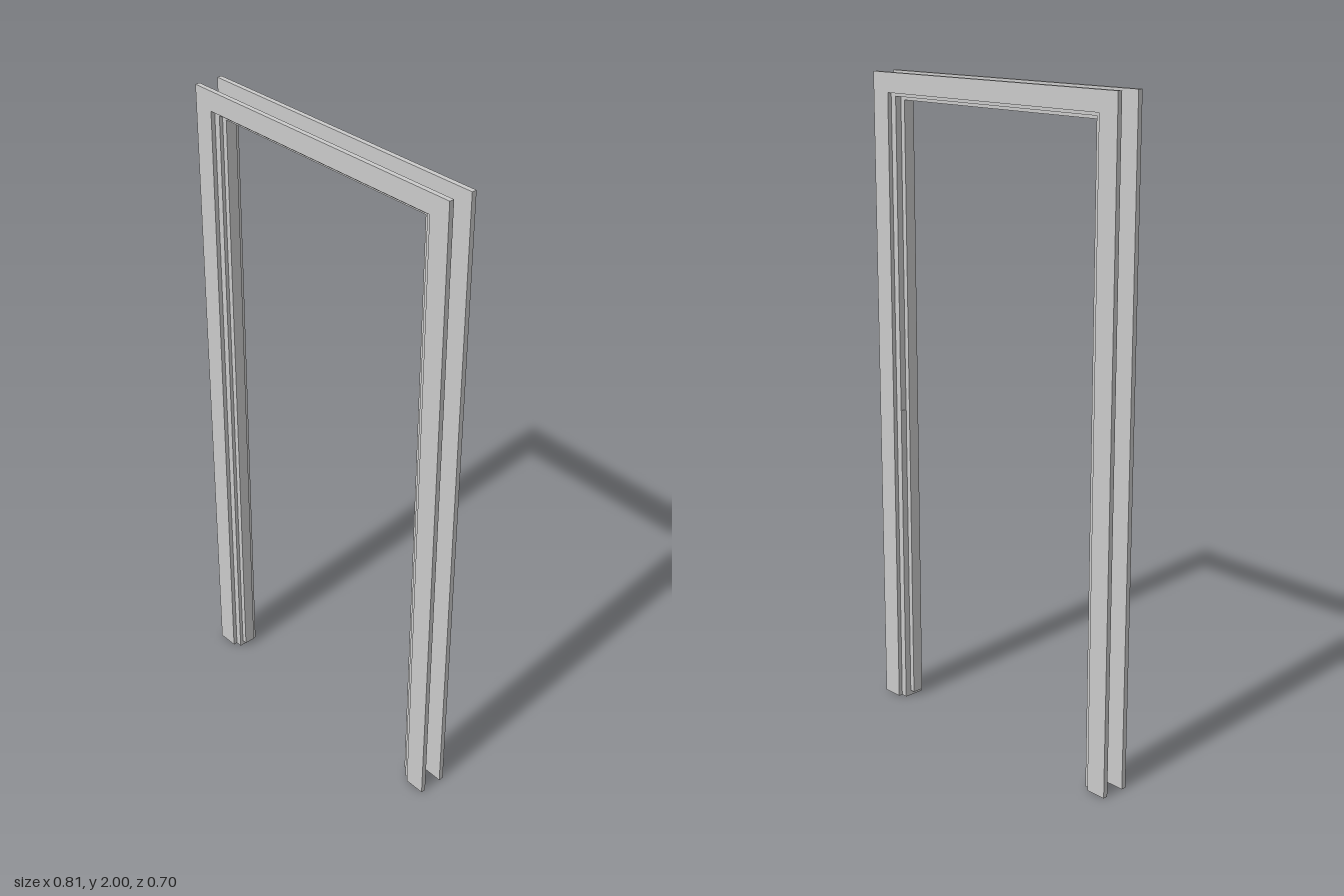
import * as THREE from 'three';

const material = new THREE.MeshStandardMaterial({ color: 0xcccccc });

// Upside-down U: outer half-width and top, inner half-width and top, extruded from z0 to z1
function portal(name, outer, top, inner, head, z0, z1, foot = 0) {
  const shape = new THREE.Shape([
    [-outer, foot], [-inner, foot], [-inner, head], [inner, head],
    [inner, foot], [outer, foot], [outer, top], [-outer, top],
  ].map(([x, y]) => new THREE.Vector2(x, y)));
  const geometry = new THREE.ExtrudeGeometry(shape, { depth: z1 - z0, bevelEnabled: false });
  geometry.translate(0, 0, z0);
  const mesh = new THREE.Mesh(geometry, material);
  mesh.name = name;
  return mesh;
}

export function createModel() {
  const model = new THREE.Group();
  model.name = 'doorFrame';

  // The whole frame stands at an angle to the axes
  const frame = new THREE.Group();
  frame.name = 'turnedFrame';
  frame.rotation.y = -THREE.MathUtils.degToRad(40.1);
  model.add(frame);

  // Casings on both wall faces
  frame.add(portal('frontCasing', 0.491, 2, 0.426, 1.941, 0.031, 0.046));
  frame.add(portal('backCasing', 0.491, 2, 0.426, 1.941, -0.046, -0.031));

  // Lining between the casings
  frame.add(portal('lining', 0.428, 1.945, 0.406, 1.931, -0.033, 0.033));

  // Door stop, raised a little above the floor
  frame.add(portal('doorStop', 0.408, 1.933, 0.39, 1.92, -0.013, 0.022, 0.016));

  // Strike plate on the inside of the left jamb, in the rebate
  const plate = new THREE.Mesh(new THREE.BoxGeometry(0.004, 0.085, 0.02), material);
  plate.name = 'strikePlate';
  plate.position.set(0.405, 0.93, -0.025);
  frame.add(plate);

  return model;
}
